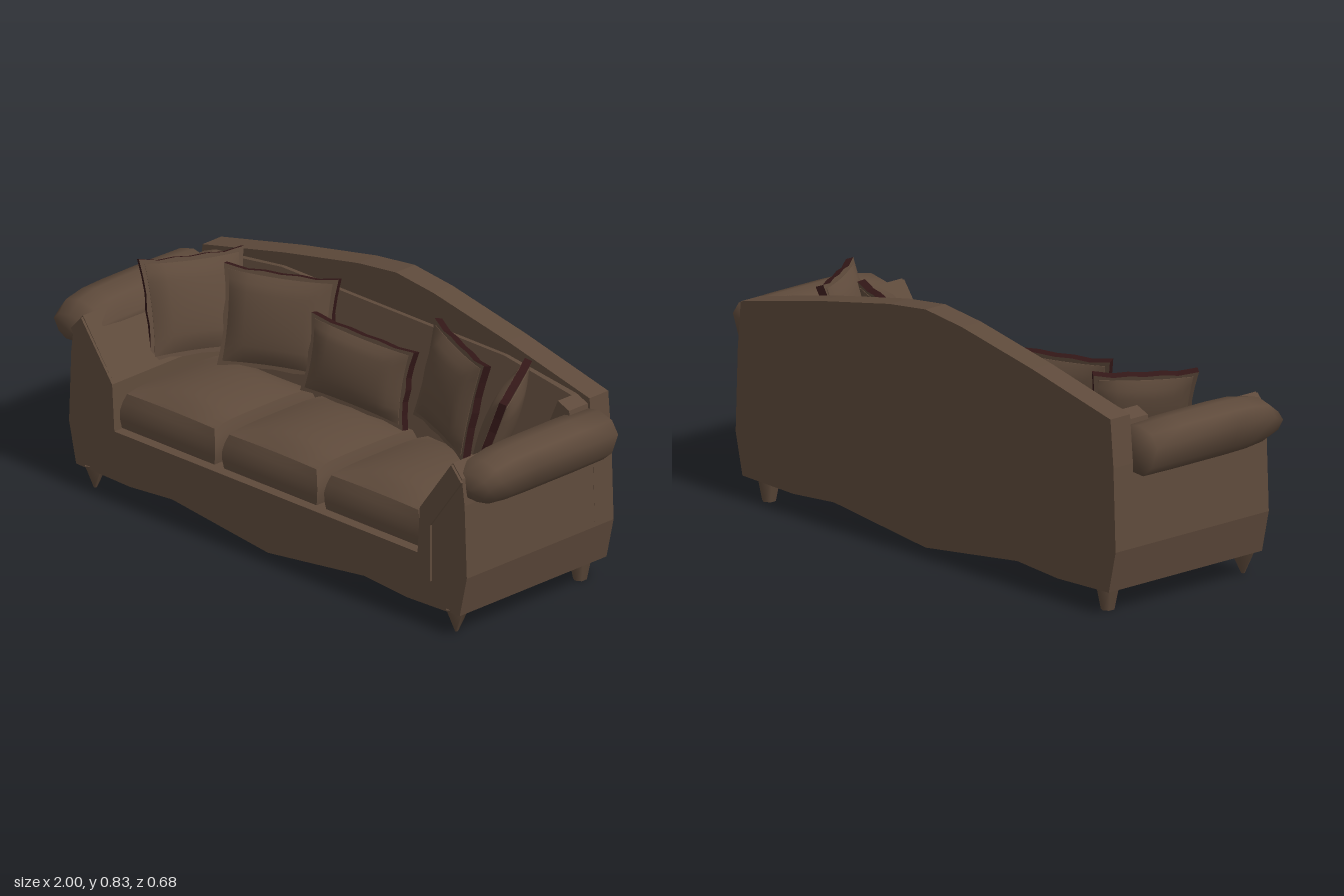
import * as THREE from 'three';

const brown = new THREE.MeshStandardMaterial({ color: 0x5e4a3b, side: THREE.DoubleSide });
brown.name = 'brown upholstery';
const wine = new THREE.MeshStandardMaterial({ color: 0x321717, side: THREE.DoubleSide });
wine.name = 'dark wine piping';

const shapeOf = (pts) => new THREE.Shape(pts.map(([x, y]) => new THREE.Vector2(x, y)));

function add(parent, name, geometry, material = brown) {
  const mesh = new THREE.Mesh(geometry, material);
  mesh.name = name;
  parent.add(mesh);
  return mesh;
}

// Flat outline extruded between two depths
function slab(pts, z0, z1) {
  const g = new THREE.ExtrudeGeometry(shapeOf(pts), { depth: z1 - z0, bevelEnabled: false });
  return g.translate(0, 0, z0);
}

// Full symmetric outline from its right half, listed bottom to top
const mirrored = (half) => [...half, ...half.slice().reverse().filter(([x]) => x !== 0).map(([x, y]) => [-x, y])];

// Box with a crown on +y and softened vertical corners
function seatCushion(w, h, d) {
  const g = new THREE.BoxGeometry(w, h, d, 10, 4, 10);
  const p = g.attributes.position;
  for (let i = 0; i < p.count; i++) {
    const u = (2 * p.getX(i)) / w, v = p.getY(i) / h + 0.5, t = (2 * p.getZ(i)) / d;
    const crown = (1 - u * u) * (1 - Math.pow(Math.abs(t), 4));
    const bulge = 0.012 * Math.sin(Math.PI * v);
    p.setXYZ(i,
      p.getX(i) + u * (bulge - 0.012 * v),
      p.getY(i) + v * (0.032 * crown - 0.012 * t * t * t * t),
      p.getZ(i) + t * (bulge - 0.016 * v * Math.abs(t)) * (1 - 0.3 * u * u));
  }
  g.computeVertexNormals();
  return g;
}

// Two domed faces pinched together at the rim
function pillowBody(w, h, d) {
  const g = new THREE.BoxGeometry(w, h, d, 10, 10, 1);
  const p = g.attributes.position;
  for (let i = 0; i < p.count; i++) {
    const u = (2 * p.getX(i)) / w, v = (2 * p.getY(i)) / h;
    const puff = 0.3 + 0.7 * Math.sqrt(Math.max(0, (1 - u * u) * (1 - v * v)));
    p.setXYZ(i,
      p.getX(i) * (1 - 0.05 * (1 - v * v)),
      p.getY(i) * (1 - 0.05 * (1 - u * u)),
      p.getZ(i) * puff);
  }
  g.computeVertexNormals();
  return g;
}

// Uneven flange around a pillow: brown faces, wine edges
function pillowTrim(w, h) {
  const ring = (a, b, jag) => {
    const pts = [], n = 6;
    const corners = [[-a, -b], [a, -b], [a, b], [-a, b]];
    corners.forEach(([x, y], c) => {
      const [x2, y2] = corners[(c + 1) % 4];
      for (let i = 0; i < n; i++) {
        const s = i === 0 ? 1 + jag * 2 : 1 - jag * ((i + c) % 2);
        pts.push([(x + (x2 - x) * i / n) * s, (y + (y2 - y) * i / n) * s]);
      }
    });
    return pts;
  };
  const shape = shapeOf(ring(w / 2 + 0.004, h / 2 + 0.004, 0.025));
  shape.holes.push(shapeOf(ring(w / 2 - 0.018, h / 2 - 0.018, 0.02)));
  const g = new THREE.ExtrudeGeometry(shape, { depth: 0.026, bevelEnabled: false });
  return g.translate(0, 0, -0.013);
}

// Loft closed cross-sections along z, closing the last one to a point
function rollGeometry(side) {
  const profile = [[0.87, 0.47], [0.93, 0.465], [0.97, 0.5], [0.998, 0.575], [0.97, 0.618],
    [0.91, 0.636], [0.84, 0.622], [0.79, 0.57], [0.8, 0.5]];
  const sections = [[-0.255, 0], [-0.255, 0.97], [-0.12, 1], [0.1, 1], [0.19, 0.97],
    [0.265, 0.84], [0.31, 0.5], [0.312, 0]];
  const n = profile.length, pos = [], index = [];
  sections.forEach(([z, s]) => profile.forEach(([x, y]) =>
    pos.push(side * (0.89 + (x - 0.89) * (0.6 + 0.4 * s) * (s ? 1 : 0)), 0.52 + (y - 0.52) * s, z)));
  for (let k = 0; k < sections.length - 1; k++) {
    for (let i = 0; i < n; i++) {
      const a = k * n + i, b = k * n + (i + 1) % n;
      if (side > 0) index.push(a, b, b + n, a, b + n, a + n);
      else index.push(a, b + n, b, a, a + n, b + n);
    }
  }
  const g = new THREE.BufferGeometry();
  g.setAttribute('position', new THREE.Float32BufferAttribute(pos, 3));
  g.setIndex(index);
  g.computeVertexNormals();
  return g;
}

export function createModel() {
  const sofa = new THREE.Group();
  sofa.name = 'sofa';

  // Frame with the waved lower edge, side walls and sloping inner arms
  const base = [[0, 0.035], [0.22, 0.062], [0.43, 0.088], [0.62, 0.073], [0.86, 0.08], [0.892, 0.22]];
  add(sofa, 'frame', slab(mirrored([...base, [0.882, 0.47], [0.87, 0.56], [0.83, 0.605],
    [0.69, 0.41], [0.68, 0.25]]), -0.255, 0.326));

  // Tall peaked back
  add(sofa, 'back', slab(mirrored([...base, [0.882, 0.5], [0.868, 0.66], [0.5, 0.745],
    [0.17, 0.81], [0, 0.83]]), -0.34, -0.255));

  // Sloping inner upholstery of the back
  const lining = add(sofa, 'backLining', slab(mirrored([[0.7, 0.25], [0.72, 0.42], [0.81, 0.66],
    [0.5, 0.7], [0, 0.7]]), -0.255, -0.2));
  const lp = lining.geometry.attributes.position;
  for (let i = 0; i < lp.count; i++) {
    if (lp.getZ(i) > -0.23) lp.setZ(i, -0.15 - 0.2 * (lp.getY(i) - 0.25));
  }
  lining.geometry.computeVertexNormals();

  // Raised front border running down the arms and under the seat
  add(sofa, 'frontBorder', slab([[-0.83, 0.6], [-0.875, 0.55], [-0.755, 0.36], [-0.755, 0.165],
    [0.735, 0.165], [0.735, 0.36], [0.875, 0.55], [0.83, 0.6], [0.69, 0.41], [0.68, 0.25],
    [-0.68, 0.25], [-0.69, 0.41]], 0.326, 0.335));

  for (const side of [-1, 1]) {
    add(sofa, side > 0 ? 'leftArmRoll' : 'rightArmRoll', rollGeometry(side));

    // Corner padding where arm meets back
    add(sofa, 'cornerPadding', slab([[0.68, 0.3], [0.88, 0.5], [0.86, 0.64], [0.81, 0.66], [0.7, 0.42]]
      .map(([x, y]) => [side * x, y]), -0.255, -0.17));

    // Tapered feet
    const front = add(sofa, 'frontFoot', new THREE.CylinderGeometry(0.045, 0.006, 0.085, 5));
    front.position.set(side * 0.81, 0.045, 0.29);
    const rear = add(sofa, 'rearFoot', new THREE.CylinderGeometry(0.04, 0.023, 0.085, 6));
    rear.position.set(side * 0.795, 0.0425, -0.285);
  }

  // Three seat cushions
  for (const x of [-0.468, -0.01, 0.448]) {
    const c = add(sofa, 'seatCushion', seatCushion(0.415, 0.13, 0.46));
    c.position.set(x, 0.32, 0.075);
  }

  // Five scatter pillows: x, y, z, yaw, lean, roll, width, height
  const pillows = [
    [-0.005, 0.535, -0.095, 0, -0.2, 0, 0.43, 0.24],
    [-0.39, 0.58, -0.12, 0.38, -0.22, 0.02, 0.37, 0.31],
    [0.385, 0.58, -0.12, -0.38, -0.22, -0.02, 0.37, 0.31],
    [-0.685, 0.575, -0.04, 1.02, -0.34, 0.03, 0.32, 0.31],
    [0.675, 0.575, -0.04, -1.02, -0.34, -0.03, 0.32, 0.31],
  ];
  for (const [x, y, z, yaw, lean, roll, w, h] of pillows) {
    const p = new THREE.Group();
    p.name = 'scatterPillow';
    add(p, 'pillowBody', pillowBody(w - 0.01, h - 0.01, 0.1));
    add(p, 'pillowTrim', pillowTrim(w, h), [brown, wine]);
    p.position.set(x, y, z);
    p.rotation.set(lean, yaw, roll, 'YXZ');
    sofa.add(p);
  }
  return sofa;
}
